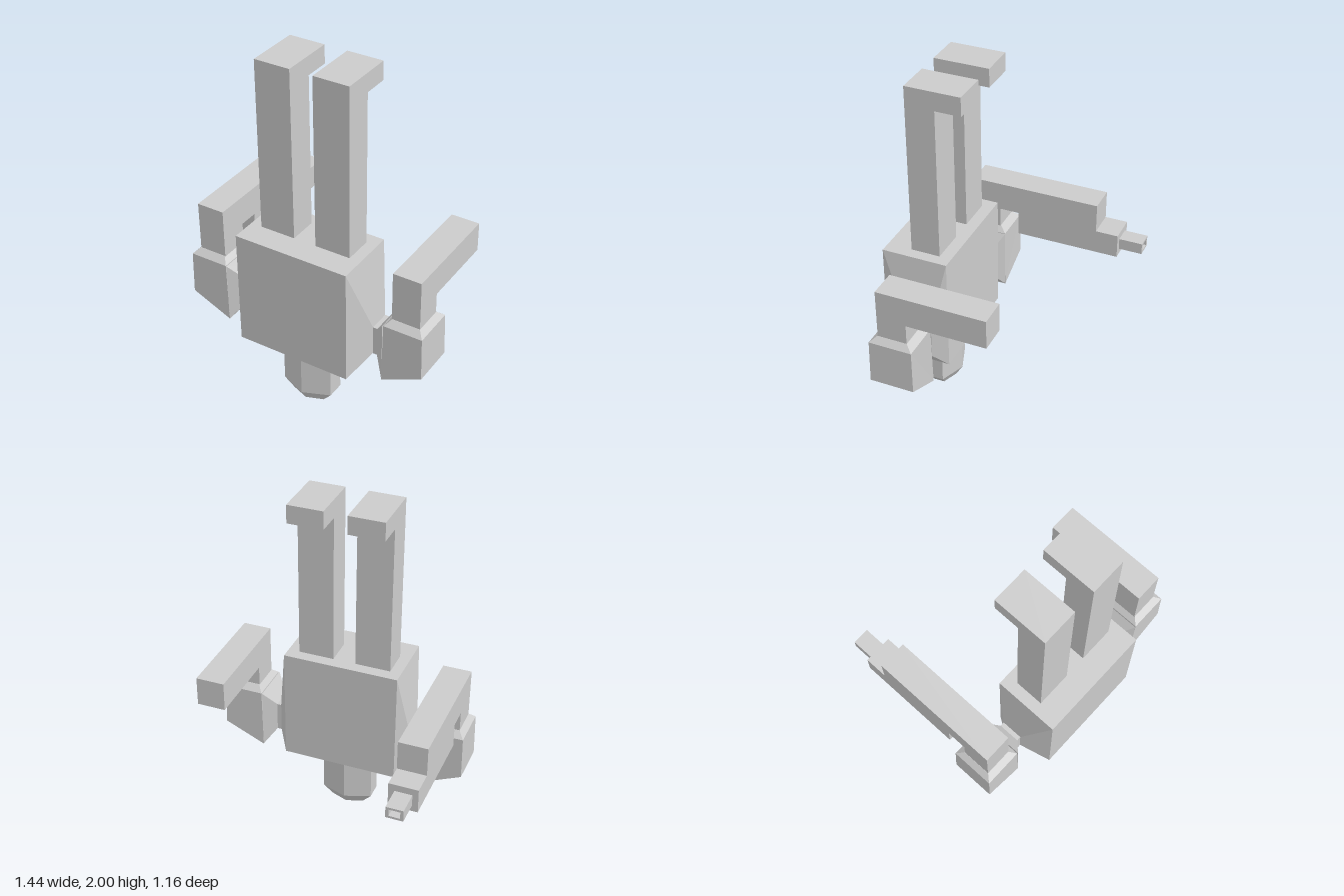
import * as THREE from 'three';

const material = new THREE.MeshStandardMaterial({ color: 0xcccccc, flatShading: true });

function add(parent, name, geometry) {
  const mesh = new THREE.Mesh(geometry, material);
  mesh.name = name;
  parent.add(mesh);
  return mesh;
}

// Box given by its limits on each axis
function block(x0, x1, y0, y1, z0, z1) {
  return new THREE.BoxGeometry(x1 - x0, y1 - y0, z1 - z0)
    .translate((x0 + x1) / 2, (y0 + y1) / 2, (z0 + z1) / 2);
}

// Side profile of [z, y] points, extruded from x0 to x1
function sideProfile(points, x0, x1) {
  const shape = new THREE.Shape(points.map(([z, y]) => new THREE.Vector2(z, y)));
  return new THREE.ExtrudeGeometry(shape, { depth: x1 - x0, bevelEnabled: false })
    .rotateY(-Math.PI / 2).translate(x1, 0, 0);
}

// Closed faceted solid through rings of [x, y, z] points, wound outward
function loft(rings) {
  const tris = [];
  const n = rings[0].length;
  for (let r = 0; r < rings.length - 1; r++) {
    for (let i = 0; i < n; i++) {
      const j = (i + 1) % n;
      const a = rings[r][i], b = rings[r][j], c = rings[r + 1][j], d = rings[r + 1][i];
      tris.push([a, b, c], [a, c, d]);
    }
  }
  const first = rings[0], last = rings[rings.length - 1];
  for (let i = 1; i < n - 1; i++) {
    tris.push([first[0], first[i + 1], first[i]], [last[0], last[i], last[i + 1]]);
  }
  let volume = 0;
  for (const [a, b, c] of tris) {
    volume += new THREE.Vector3(...a).dot(new THREE.Vector3(...b).cross(new THREE.Vector3(...c)));
  }
  if (volume < 0) tris.forEach((t) => t.reverse());
  const geometry = new THREE.BufferGeometry();
  geometry.setAttribute('position', new THREE.Float32BufferAttribute(tris.flat(2), 3));
  geometry.computeVertexNormals();
  return geometry;
}

// Rectangular ring in a plane of constant x
const rectX = (x, y0, y1, z0, z1) => [[x, y0, z0], [x, y1, z0], [x, y1, z1], [x, y0, z1]];

// Ring whose inner and outer edges may sit at different heights
const rectY = (xIn, yIn, xOut, yOut, z0, z1) =>
  [[xIn, yIn, z0], [xOut, yOut, z0], [xOut, yOut, z1], [xIn, yIn, z1]];

// Six-sided head ring with an edge at the front and back
const headRing = (y, w, front, sideFront, sideBack, back) => [
  [0, y, front], [w, y, sideFront], [w, y, sideBack],
  [0, y, back], [-w, y, sideBack], [-w, y, sideFront],
];

export function createModel() {
  const model = new THREE.Group();
  model.name = 'upsideDownRobot';

  add(model, 'torso', block(-0.333, 0.333, 0.365, 1.03, 0.207, 0.58));

  add(model, 'head', loft([
    headRing(0, 0.095, 0.465, 0.43, 0.365, 0.33),
    headRing(0.065, 0.15, 0.505, 0.445, 0.345, 0.29),
    headRing(0.305, 0.15, 0.505, 0.445, 0.345, 0.29),
    headRing(0.365, 0.09, 0.465, 0.43, 0.365, 0.33),
  ]));

  for (const s of [1, -1]) {
    const side = s > 0 ? 'left' : 'right';

    // Leg with the foot pointing backward
    const legX = s * 0.167;
    add(model, side + 'Leg', sideProfile([
      [0.44, 1.03], [0.44, 2], [0.13, 2], [0.13, 1.895], [0.275, 1.895], [0.275, 1.03],
    ], legX - 0.102, legX + 0.102));

    // Tapered torso flank, narrow joint and flare into the shoulder
    add(model, side + 'ShoulderJoint', loft([
      rectX(s * 0.333, 0.365, 1.03, 0.207, 0.58),
      rectX(s * 0.395, 0.45, 0.622, 0.29, 0.413),
      rectX(s * 0.42, 0.45, 0.622, 0.29, 0.413),
      rectX(s * 0.487, 0.36, 0.715, 0.23, 0.48),
    ]));

    // Shoulder block: sloped underside, bevelled top
    add(model, side + 'Shoulder', loft([
      rectY(s * 0.485, 0.36, s * 0.72, 0.465, 0.228, 0.48),
      rectY(s * 0.492, 0.715, s * 0.715, 0.715, 0.232, 0.478),
      rectY(s * 0.522, 0.747, s * 0.683, 0.747, 0.27, 0.442),
    ]));

    // Bent arm, longer on the armed side
    const armX = s * 0.601;
    const reach = s > 0 ? -0.18 : -0.317;
    add(model, side + 'Arm', sideProfile([
      [0.44, 0.745], [0.44, 1.03], [reach, 1.03], [reach, 0.862], [0.272, 0.862], [0.272, 0.745],
    ], armX - 0.081, armX + 0.081));
  }

  // Blaster under the right forearm
  const blaster = new THREE.Group();
  blaster.name = 'blaster';
  model.add(blaster);
  add(blaster, 'blasterBody', block(-0.682, -0.52, 0.722, 0.862, -0.447, 0.16));

  // Hollow square barrel
  const square = (ShapeType, w, h) => new ShapeType([
    new THREE.Vector2(-w, -h), new THREE.Vector2(w, -h),
    new THREE.Vector2(w, h), new THREE.Vector2(-w, h),
  ]);
  const muzzle = square(THREE.Shape, 0.048, 0.033);
  muzzle.holes.push(square(THREE.Path, 0.031, 0.02));
  add(blaster, 'barrel', new THREE.ExtrudeGeometry(muzzle, { depth: 0.135, bevelEnabled: false }))
    .position.set(-0.602, 0.79, -0.582);

  return model;
}
